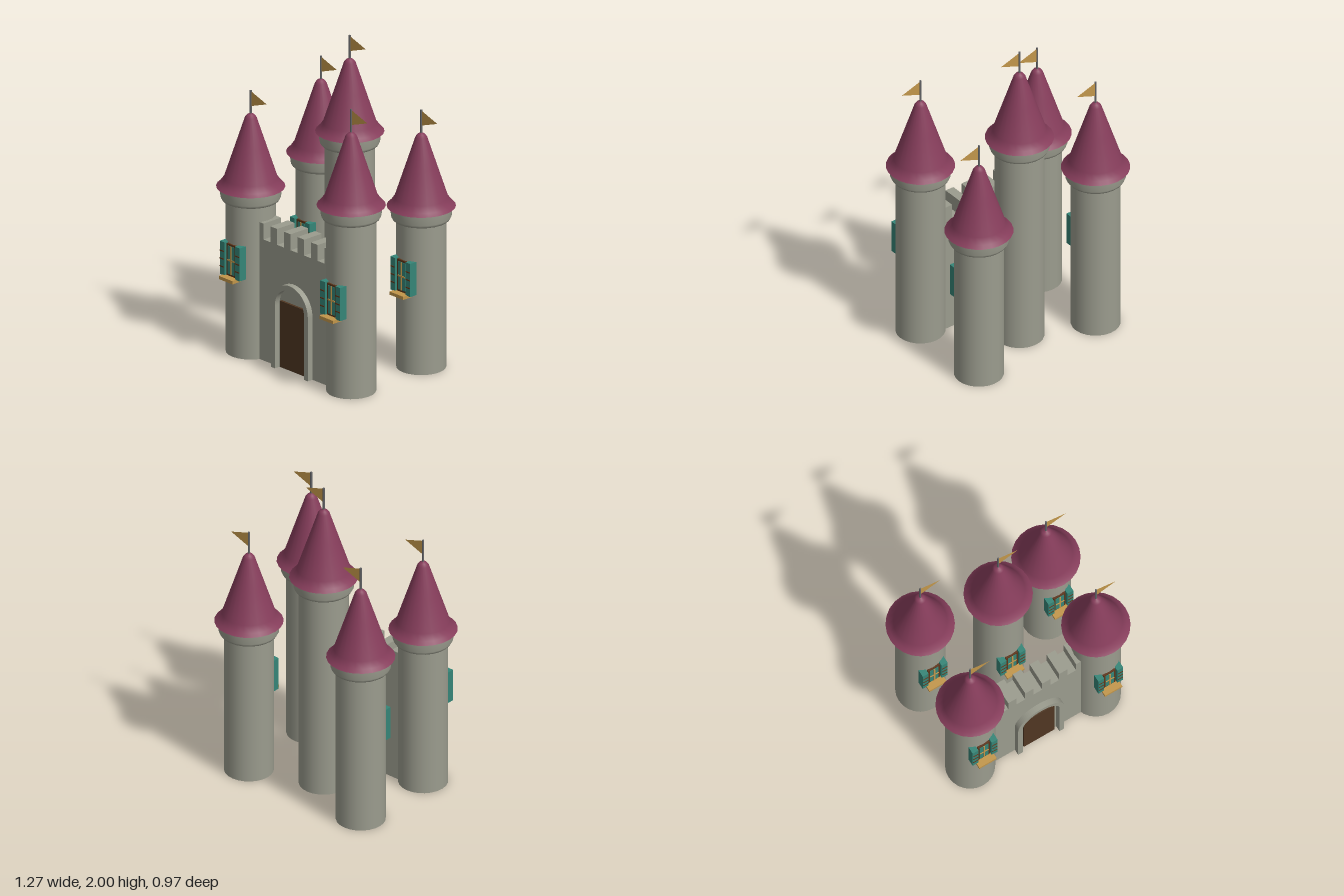
import * as THREE from 'three';

const mat = (name, color, side = THREE.FrontSide) => {
  const m = new THREE.MeshStandardMaterial({ color, side });
  m.name = name;
  return m;
};

export function createModel() {
  const stone = mat('stone', 0x9b9c8e, THREE.DoubleSide);
  const maroon = mat('roof maroon', 0x863d5b, THREE.DoubleSide);
  const gold = mat('gold', 0xc2964a, THREE.DoubleSide);
  const teal = mat('shutter teal', 0x358577);
  const wood = mat('dark wood', 0x503722);
  const frameBrown = mat('window brown', 0x5e3519);
  const metal = mat('pole grey', 0x66676a);

  const castle = new THREE.Group();
  castle.name = 'castle';

  const add = (parent, name, geometry, material, x = 0, y = 0, z = 0) => {
    const mesh = new THREE.Mesh(geometry, material);
    mesh.name = name;
    mesh.position.set(x, y, z);
    parent.add(mesh);
    return mesh;
  };
  const box = (parent, name, material, w, h, d, x, y, z) =>
    add(parent, name, new THREE.BoxGeometry(w, h, d), material, x, y, z);
  const lathe = (points) =>
    new THREE.LatheGeometry(points.map(([r, y]) => new THREE.Vector2(r, y)), 24);

  const R = 0.147; // tower radius

  // Profiles measured from the eave line
  const collarGeo = lathe([[R, -0.088], [0.168, -0.08], [0.178, -0.062], [0.181, 0.004]]);
  const roofGeo = lathe([[0.203, 0], [0.183, 0.018], [0.158, 0.055], [0.094, 0.25],
    [0.035, 0.43], [0.022, 0.448], [0, 0.458]]);
  const soffitGeo = lathe([[0.165, 0.003], [0.203, 0]]);
  const poleGeo = new THREE.CylinderGeometry(0.006, 0.006, 0.16, 8);
  const flagGeo = new THREE.ShapeGeometry(new THREE.Shape([
    new THREE.Vector2(0, 0), new THREE.Vector2(0.137, 0.05), new THREE.Vector2(0, 0.095)]));

  // Window with frame, glazing bars, sill and two banded shutters
  function makeWindow() {
    const g = new THREE.Group();
    g.name = 'window';
    box(g, 'windowFrame', frameBrown, 0.08, 0.2, 0.03, 0, 0.605, 0.14);
    box(g, 'windowPane', teal, 0.058, 0.176, 0.006, 0, 0.605, 0.155);
    box(g, 'glazingBarUpright', gold, 0.009, 0.176, 0.006, 0, 0.605, 0.159);
    box(g, 'glazingBarCross', gold, 0.058, 0.009, 0.006, 0, 0.605, 0.159);
    box(g, 'windowSill', gold, 0.118, 0.02, 0.07, 0, 0.495, 0.165);
    for (const s of [-1, 1]) {
      box(g, 'shutter', teal, 0.04, 0.208, 0.05, s * 0.065, 0.606, 0.143);
      for (const y of [0.555, 0.604, 0.653])
        box(g, 'shutterBand', frameBrown, 0.034, 0.007, 0.006, s * 0.065, y, 0.168);
    }
    return g;
  }

  // Tower: open shaft, flared collar, cone roof, pole and pennant
  function makeTower(name, x, z, eave) {
    const t = new THREE.Group();
    t.name = name;
    t.position.set(x, 0, z);
    const h = eave - 0.08;
    add(t, 'towerShaft', new THREE.CylinderGeometry(R, R, h, 24, 1, true), stone, 0, h / 2, 0);
    add(t, 'collar', collarGeo, stone, 0, eave, 0);
    add(t, 'roof', roofGeo, maroon, 0, eave, 0);
    add(t, 'roofSoffit', soffitGeo, maroon, 0, eave, 0);
    add(t, 'flagPole', poleGeo, metal, 0, eave + 0.52, 0);
    add(t, 'flag', flagGeo, gold, 0, eave + 0.5, 0);
    t.add(makeWindow());
    castle.add(t);
  }
  makeTower('centreTower', 0, -0.11, 1.4);
  makeTower('frontLeftTower', 0.43, 0.28, 1.165);
  makeTower('frontRightTower', -0.43, 0.28, 1.035);
  makeTower('backLeftTower', 0.43, -0.28, 1.01);
  makeTower('backRightTower', -0.43, -0.28, 1.1);

  // Curtain wall with battlements
  const wall = new THREE.Group();
  wall.name = 'gateWall';
  castle.add(wall);
  box(wall, 'wall', stone, 0.86, 0.76, 0.14, 0, 0.38, 0.265);
  for (let i = 0; i < 6; i++)
    box(wall, 'merlon', stone, 0.057, 0.1, 0.14, (i - 2.5) * 0.116, 0.81, 0.265);

  // Raised arch band around the gate
  const spring = 0.395;
  const arch = (r, depth) => {
    const s = new THREE.Shape();
    s.moveTo(r, 0);
    s.lineTo(r, spring);
    s.absarc(0, spring, r, 0, Math.PI, false);
    s.lineTo(-r, 0);
    const q = r - 0.032;
    s.lineTo(-q, 0);
    s.lineTo(-q, spring);
    s.absarc(0, spring, q, Math.PI, 0, true);
    s.lineTo(q, 0);
    return new THREE.ExtrudeGeometry(s, { depth, bevelEnabled: false, curveSegments: 20 });
  };
  add(wall, 'gateArch', arch(0.157, 0.04), stone, 0, 0, 0.332);
  box(wall, 'gateDoor', wood, 0.21, 0.415, 0.02, 0, 0.2175, 0.34);

  return castle;
}
